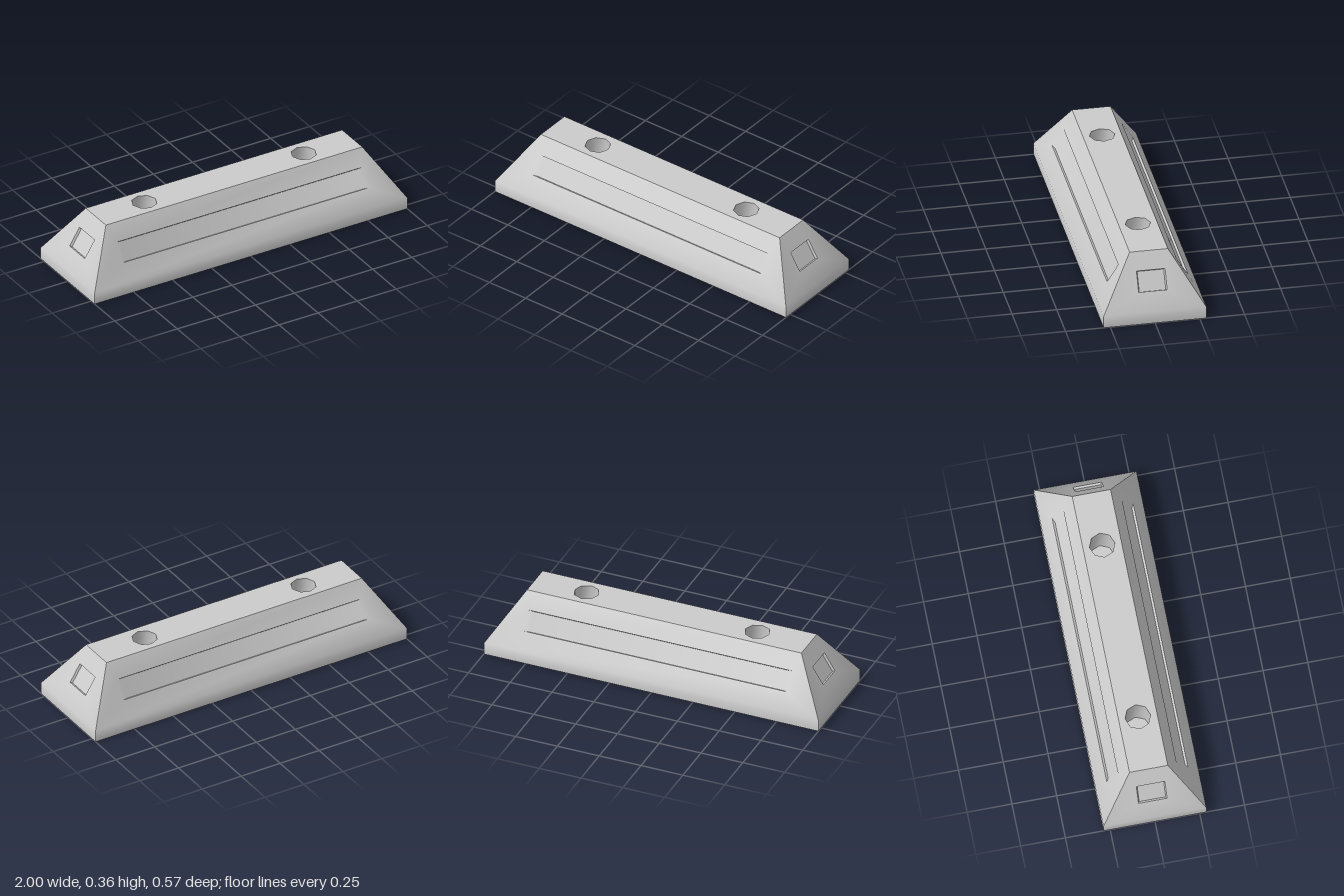
import * as THREE from 'three';
import { mergeGeometries, toCreasedNormals } from 'three/addons/utils/BufferGeometryUtils.js';

const HALF_X = 1, HALF_Z = 0.287;      // footprint
const BAND = 0.07, TOP = 0.357;        // heights of the upright band and the top
const INSET = 0.18;                    // how far the sides lean in
const SLOPE = Math.hypot(TOP - BAND, INSET);

const rect = (x, y0, y1) => [[-x, y0], [x, y0], [x, y1], [-x, y1]].map(p => new THREE.Vector2(...p));

// Flat polygon with holes
function plate(outline, holes = []) {
  const shape = new THREE.Shape(outline);
  holes.forEach(h => shape.holes.push(new THREE.Path(h)));
  return bare(new THREE.ShapeGeometry(shape));
}

function bare(geometry) {
  const g = geometry.index ? geometry.toNonIndexed() : geometry;
  g.deleteAttribute('uv');
  g.deleteAttribute('normal');
  return g;
}

// Wall joining two matching closed loops at depths wa and wb
function wall(a, wa, b, wb) {
  const pos = [];
  a.forEach((p, i) => {
    const j = (i + 1) % a.length, q = a[j], r = b[j], s = b[i];
    pos.push(p.x, p.y, wa, q.x, q.y, wa, r.x, r.y, wb);
    pos.push(p.x, p.y, wa, r.x, r.y, wb, s.x, s.y, wb);
  });
  return new THREE.BufferGeometry().setAttribute('position', new THREE.Float32BufferAttribute(pos, 3));
}

// Sloping side with a shallow recessed panel, turned about y into place
function slopingSide(halfWidth, distance, panelHalf, taper, turn) {
  const outline = [[-halfWidth, 0], [halfWidth, 0], [halfWidth - INSET, SLOPE], [INSET - halfWidth, SLOPE]]
    .map(p => new THREE.Vector2(...p));
  const v0 = 0.114, v1 = 0.232, depth = 0.013;
  const rim = rect(panelHalf, v0, v1);
  const floor = rect(panelHalf - taper, v0 + 0.002, v1 - 0.002);
  const g = mergeGeometries([
    plate(outline, [rim]),
    wall(rim, 0, floor, -depth),
    plate(floor).translate(0, 0, -depth),
  ]);
  g.rotateX(-Math.atan2(INSET, TOP - BAND));
  return g.translate(0, BAND, distance).rotateY(turn);
}

// Snap shared corners together, then smooth only the gentle edges
function finish(parts) {
  const g = mergeGeometries(parts), k = 1e4, p = g.attributes.position;
  for (let i = 0; i < p.array.length; i++) p.array[i] = Math.round(p.array[i] * k);
  const smooth = toCreasedNormals(g, THREE.MathUtils.degToRad(50));
  return smooth.scale(1 / k, 1 / k, 1 / k);
}

export function createModel() {
  const group = new THREE.Group();
  const material = new THREE.MeshStandardMaterial({ color: 0xcccccc });
  const add = (name, parts) => {
    const mesh = new THREE.Mesh(finish(parts), material);
    mesh.name = name;
    group.add(mesh);
  };
  const lay = g => g.rotateX(-Math.PI / 2);

  // Upright band and four sloping sides
  const base = rect(HALF_X, -HALF_Z, HALF_Z);
  const sides = [lay(wall(base, 0, base, BAND))];
  for (const flip of [0, Math.PI]) {
    sides.push(slopingSide(HALF_X, HALF_Z, 0.785, 0.025, flip));
    sides.push(slopingSide(HALF_Z, HALF_X, 0.08, 0.006, flip + Math.PI / 2));
  }
  add('sides', sides);

  // Underside
  add('underside', [plate(base).rotateX(Math.PI / 2)]);

  // Top with two eight-sided sockets
  const octagons = [-0.51, 0.51].map(x => Array.from({ length: 8 }, (_, i) =>
    new THREE.Vector2(x + 0.071 * Math.cos(i * Math.PI / 4), 0.071 * Math.sin(i * Math.PI / 4))));
  const topZ = HALF_Z - INSET;
  add('top', [lay(plate(rect(HALF_X - INSET, -topZ, topZ), octagons)).translate(0, TOP, 0)]);
  octagons.forEach((loop, i) => add(i ? 'leftSocket' : 'rightSocket', [
    lay(wall(loop, TOP, loop, TOP - 0.2)),
    lay(plate(loop)).translate(0, TOP - 0.2, 0),
  ]));
  return group;
}
